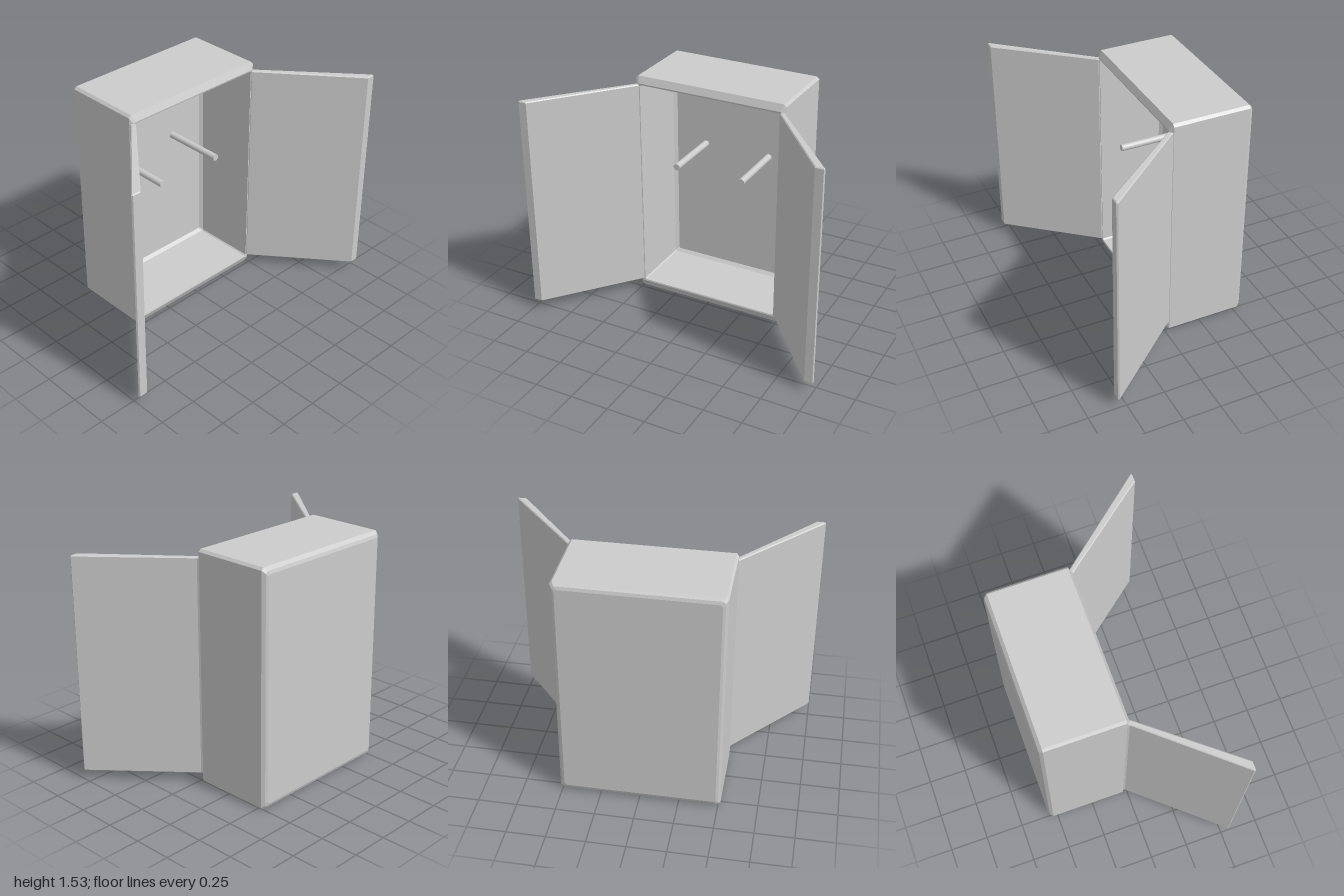
import * as THREE from 'three';

const H = 1.535, MID = H / 2;
const material = new THREE.MeshStandardMaterial({ color: 0xcccccc, flatShading: true });

function part(name, geometry, mat = material) {
  const mesh = new THREE.Mesh(geometry, mat);
  mesh.name = name;
  return mesh;
}

// Rectangle in the yz plane with cut corners, at depth x
function ring(x, hy, hz, c) {
  const pts = [[hy, -hz + c], [hy, hz - c], [hy - c, hz], [-hy + c, hz],
    [-hy, hz - c], [-hy, -hz + c], [-hy + c, -hz], [hy - c, -hz]];
  return pts.map(([y, z]) => [x, MID + y, z]);
}

// Open cabinet: rings run from the back, around the rim and into the inside
function cabinetGeometry() {
  const rings = [
    ring(-0.557, MID - 0.04, 0.485, 0.012),
    ring(-0.55, MID - 0.02, 0.5, 0.014),
    ring(-0.53, MID, 0.515, 0.016),
    ring(-0.03, MID, 0.515, 0.016),
    ring(-0.01, MID - 0.045, 0.495, 0.01),
    ring(-0.012, MID - 0.055, 0.48, 0.008),
    ring(-0.44, MID - 0.055, 0.48, 0.008),
    ring(-0.46, MID - 0.075, 0.46, 0.008),
  ];
  const pos = [];
  const n = rings[0].length;
  const first = rings[0], last = rings[rings.length - 1];
  for (let j = 0; j < n; j++) {
    const k = (j + 1) % n;
    for (let i = 0; i + 1 < rings.length; i++) {
      const a = rings[i][j], b = rings[i][k], c = rings[i + 1][k], d = rings[i + 1][j];
      pos.push(...a, ...b, ...c, ...a, ...c, ...d);
    }
    pos.push(first[0][0], MID, 0, ...first[k], ...first[j]);
    pos.push(last[0][0], MID, 0, ...last[j], ...last[k]);
  }
  const geometry = new THREE.BufferGeometry();
  geometry.setAttribute('position', new THREE.Float32BufferAttribute(pos, 3));
  geometry.computeVertexNormals();
  return geometry;
}

// Door: mitred plan outline extruded upwards with a fine bevel
function doorGeometry(side) {
  const plan = [[-0.03, 0.512], [-0.015, 0.517], [0.545, 1], [0.555, 0.995], [0.555, 0.942], [-0.005, 0.484], [-0.02, 0.488]];
  const shape = new THREE.Shape(plan.map(([x, z]) => new THREE.Vector2(x, -side * z)));
  const b = 0.006, bottom = 0.06, top = 1.483;
  const geometry = new THREE.ExtrudeGeometry(shape, {
    depth: top - bottom - 2 * b, bevelThickness: b, bevelSize: b, bevelOffset: -b, bevelSegments: 1,
  });
  geometry.rotateX(-Math.PI / 2);
  return geometry.translate(0, bottom + b, 0);
}

export function createModel() {
  const model = new THREE.Group();
  model.name = 'cabinet';
  model.add(part('cabinetBody', cabinetGeometry()));
  model.add(part('leftDoor', doorGeometry(1)), part('rightDoor', doorGeometry(-1)));

  // Two round pegs standing out from the inner back wall
  const smooth = new THREE.MeshStandardMaterial({ color: 0xcccccc });
  const pegLength = 0.42;
  for (const z of [0.245, -0.215]) {
    const peg = part('peg', new THREE.CylinderGeometry(0.022, 0.022, pegLength, 24), smooth);
    peg.rotation.z = Math.PI / 2;
    peg.position.set(-0.05 - pegLength / 2, 0.943, z);
    model.add(peg);
  }
  return model;
}
